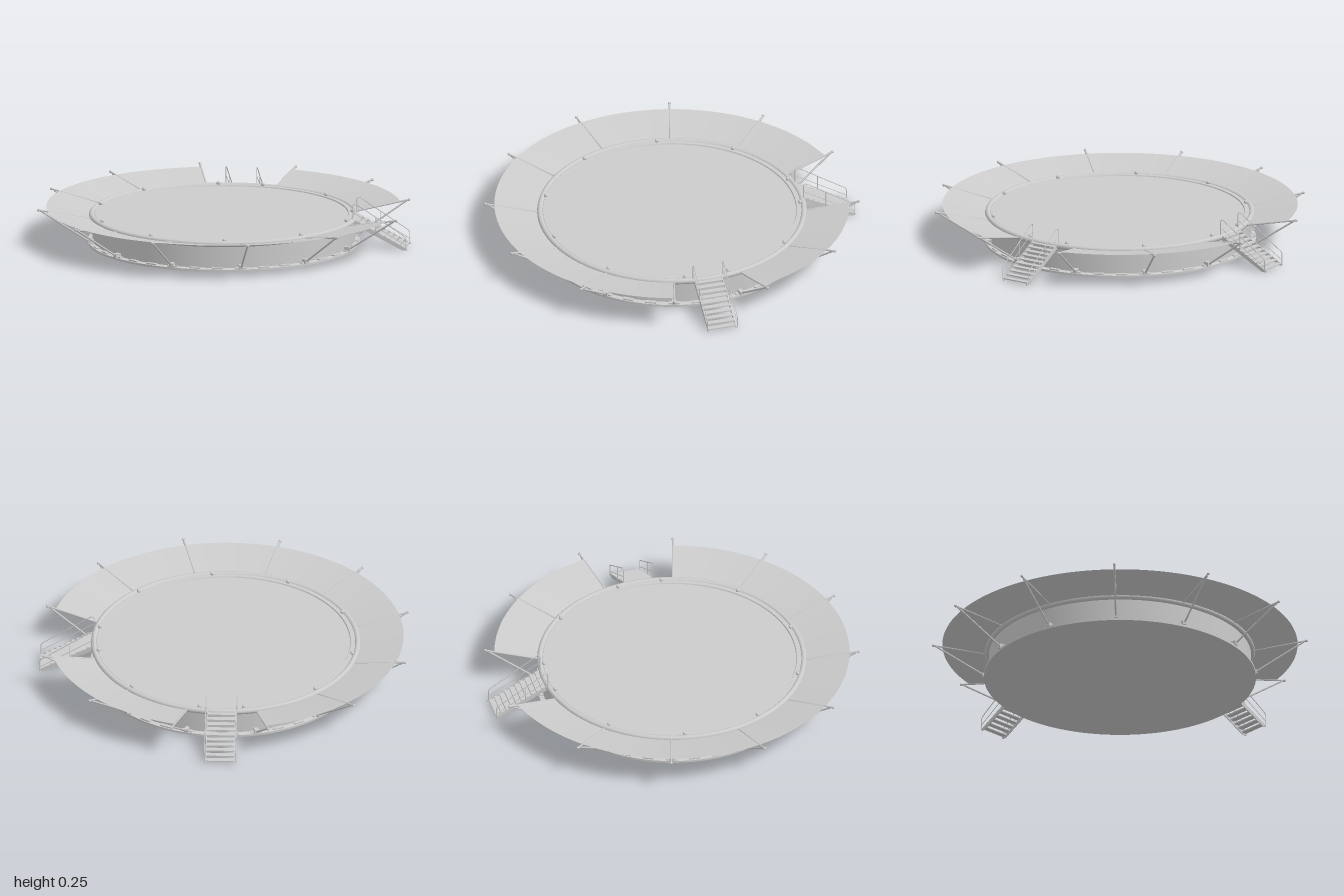
import * as THREE from 'three';
import { toCreasedNormals } from 'three/addons/utils/BufferGeometryUtils.js';

const grey = new THREE.MeshStandardMaterial({ color: 0xcccccc });
const thin = new THREE.MeshStandardMaterial({ color: 0xcccccc, side: THREE.DoubleSide });
const rad = THREE.MathUtils.degToRad;
const V = (x, y, z = 0) => new THREE.Vector3(x, y, z);

function add(parent, name, geometry, material = grey) {
  const mesh = new THREE.Mesh(geometry, material);
  mesh.name = name;
  parent.add(mesh);
  return mesh;
}

// Group turned so that its local +x points outwards at an angle from +x towards +z
function spoke(parent, name, degrees) {
  const g = new THREE.Group();
  g.name = name;
  g.rotation.y = -rad(degrees);
  parent.add(g);
  return g;
}

// Round bar between two points
function bar(parent, name, a, b, radius, sides = 8) {
  const mesh = add(parent, name, new THREE.CylinderGeometry(radius, radius, a.distanceTo(b), sides));
  mesh.position.copy(a).add(b).multiplyScalar(0.5);
  mesh.quaternion.setFromUnitVectors(V(0, 1), b.clone().sub(a).normalize());
  return mesh;
}

// Stair rising inwards along local x, with a handrail on each side
function buildStair(parent, degrees) {
  const stair = spoke(parent, 'stair', degrees);
  const steps = 10, halfWidth = 0.077;
  for (let i = 0; i < steps; i++) {
    const t = i / (steps - 1);
    add(stair, 'tread', new THREE.BoxGeometry(0.03, 0.006, halfWidth * 2))
      .position.set(0.738 + 0.255 * t, 0.15 - 0.138 * t, 0);
  }
  for (const side of [-1, 1]) {
    const z = side * halfWidth;
    const stringer = new THREE.Shape([[0.712, 0.158], [0.728, 0.158], [1.013, 0.008],
      [1.013, 0], [0.985, 0], [0.712, 0.14]].map(p => new THREE.Vector2(...p)));
    const geo = new THREE.ExtrudeGeometry(stringer, { depth: 0.005, bevelEnabled: false });
    geo.translate(0, 0, z - 0.0025);
    add(stair, 'stringer', geo);

    // Bent outer rail, following the slope and dropping to both ends
    const rz = side * 0.084;
    const path = new THREE.CurvePath();
    const pts = [V(0.718, 0.15, rz), V(0.718, 0.24, rz), V(0.722, 0.25, rz), V(0.735, 0.25, rz),
      V(1.0, 0.078, rz), V(1.007, 0.066, rz), V(1.007, 0.004, rz)];
    for (let i = 1; i < pts.length; i++) path.add(new THREE.LineCurve3(pts[i - 1], pts[i]));
    add(stair, 'handrail', new THREE.TubeGeometry(path, 70, 0.0024, 6));
    bar(stair, 'midRail', V(0.718, 0.205, rz), V(1.007, 0.03, rz), 0.0018, 6);
    bar(stair, 'railPost', V(0.845, 0.09, rz), V(0.845, 0.178, rz), 0.0022, 6);
  }
}

export function createModel() {
  const model = new THREE.Group();
  model.name = 'roundPlatform';
  const body = new THREE.Group();
  body.name = 'platform';
  body.position.set(-0.018, 0, 0.016);
  model.add(body);

  // Drum with a base flange, wall and flat deck
  const profile = [[0, 0], [0.738, 0], [0.738, 0.012], [0.712, 0.016], [0.712, 0.15],
    [0.7, 0.16], [0.677, 0.16], [0.674, 0.154], [0, 0.154]].map(p => new THREE.Vector2(...p));
  add(body, 'drum', toCreasedNormals(new THREE.LatheGeometry(profile, 128), 0.5));

  // Rounded rim
  const rim = add(body, 'rim', new THREE.TorusGeometry(0.716, 0.0165, 12, 128));
  rim.rotation.x = Math.PI / 2;
  rim.position.y = 0.15;

  // Raised pads around the base flange
  for (let i = 0; i < 36; i++) {
    add(spoke(body, 'basePad', i * 10 + 5), 'pad', new THREE.BoxGeometry(0.02, 0.012, 0.06))
      .position.set(0.722, 0.014, 0);
  }

  // Sloping canopy skirts, open at the two stairs
  for (const [from, to] of [[15, 255], [285, 345]]) {
    const edge = [new THREE.Vector2(0.725, 0.15), new THREE.Vector2(0.964, 0.198)];
    add(body, 'canopy', new THREE.LatheGeometry(edge, Math.round((to - from) / 3),
      rad(90 - to), rad(to - from)), thin);
  }

  // Canopy arms with struts down to the base
  for (let i = 0; i < 12; i++) {
    const arm = spoke(body, 'canopySupport', 15 + i * 30);
    const tip = V(1.013, 0.205);
    bar(arm, 'arm', V(0.725, 0.15), tip, 0.005);
    bar(arm, 'strut', V(0.735, 0.022), V(1.0, 0.2), 0.005);
    add(arm, 'armCap', new THREE.SphereGeometry(0.008, 10, 8)).position.copy(tip);
    add(arm, 'footBracket', new THREE.BoxGeometry(0.034, 0.024, 0.022)).position.set(0.728, 0.024, 0);
  }

  // Small lamps on the rim
  for (const angle of [-136, -100, -80, -45, -10, 10, 45.5, 82, 117, 153, 189]) {
    add(spoke(body, 'rimLamp', angle), 'lamp', new THREE.SphereGeometry(0.011, 12, 8))
      .position.set(0.698, 0.167, 0);
  }

  // Stairs on the left side and at the back
  buildStair(body, 0);
  buildStair(body, -90);
  return model;
}
